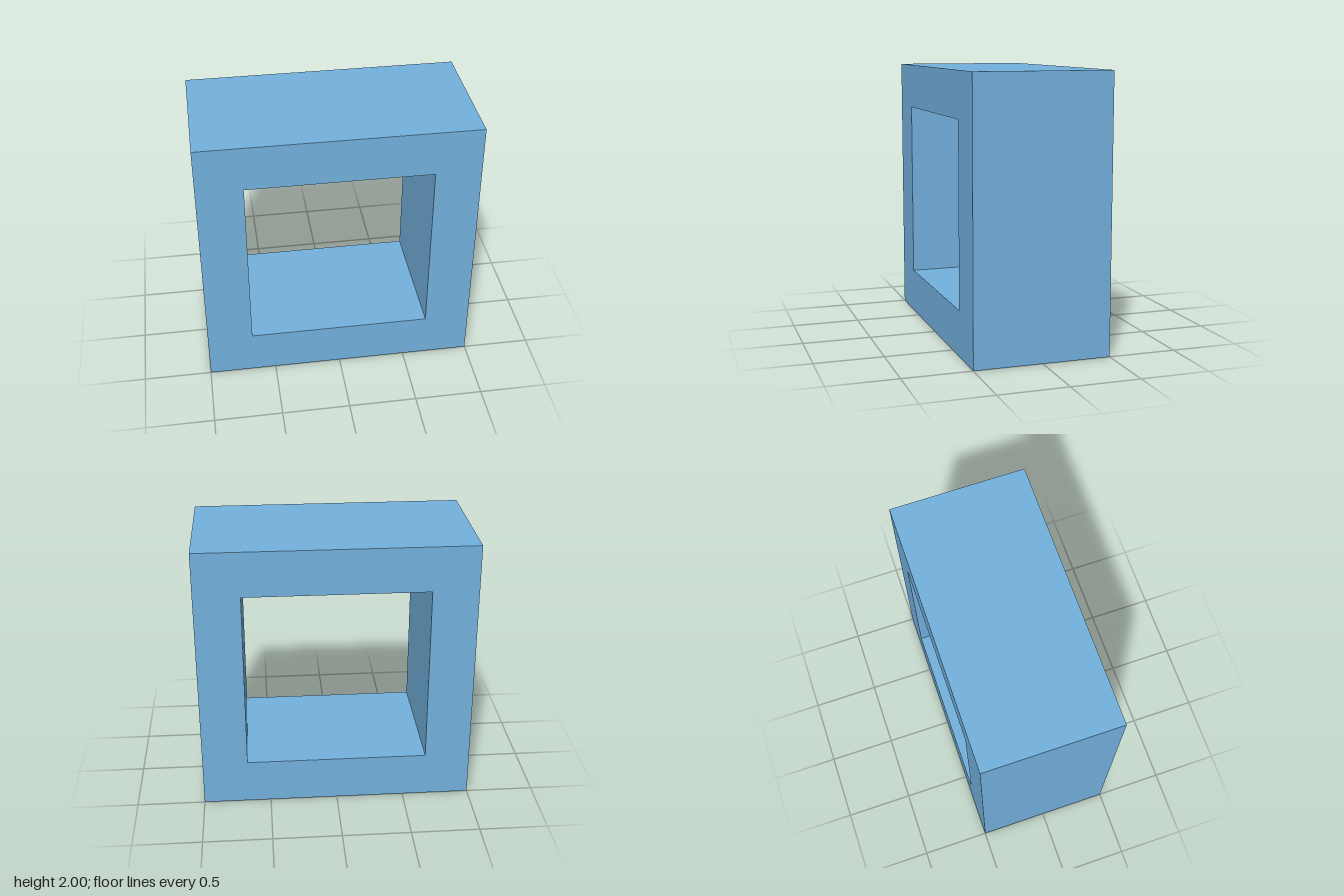
import * as THREE from 'three';

const SIZE = 2; // outer width and height
const OPENING = 4 / 3; // inner width and height
const DEPTH = 1;

// Traces a centred square of the given side onto a shape or path
function traceSquare(path, side) {
  const h = side / 2;
  path.moveTo(-h, -h);
  path.lineTo(h, -h);
  path.lineTo(h, h);
  path.lineTo(-h, h);
  path.closePath();
  return path;
}

export function createModel() {
  const group = new THREE.Group();
  group.name = 'squareFrame';

  // Thick square frame with a square opening from front to back
  const outline = traceSquare(new THREE.Shape(), SIZE);
  outline.holes.push(traceSquare(new THREE.Path(), OPENING));
  const geometry = new THREE.ExtrudeGeometry(outline, { depth: DEPTH, bevelEnabled: false });
  geometry.translate(0, SIZE / 2, -DEPTH / 2);

  const material = new THREE.MeshStandardMaterial({ color: 0x73b1dd });
  const frame = new THREE.Mesh(geometry, material);
  frame.name = 'frame';
  group.add(frame);

  return group;
}
